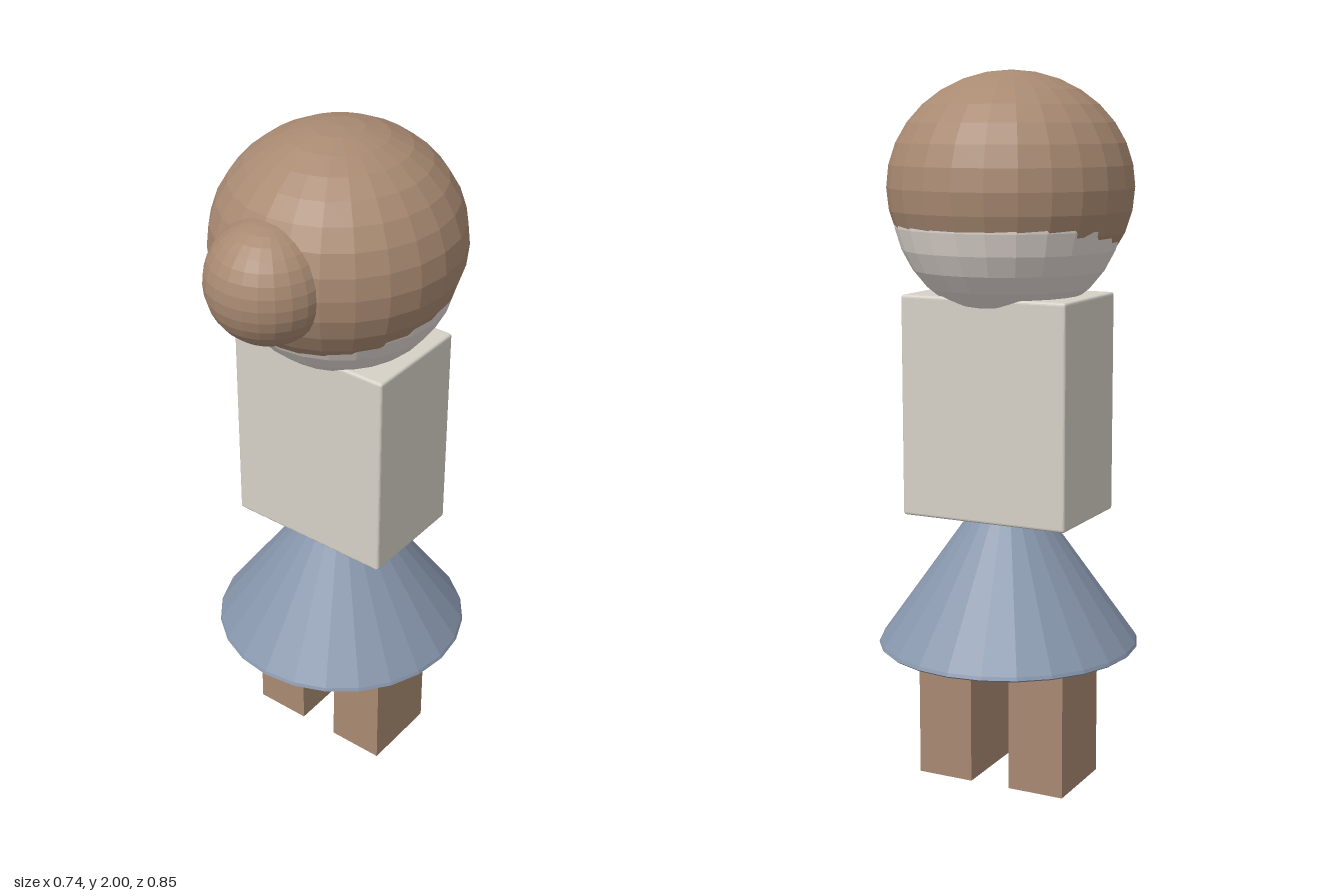
import * as THREE from 'three';
import { RoundedBoxGeometry } from 'three/addons/geometries/RoundedBoxGeometry.js';

export function createModel() {
  const group = new THREE.Group();
  const mat = (color) => new THREE.MeshStandardMaterial({ color, flatShading: true });
  const brown = mat(0xa98a72), cream = mat(0xd6d1c7), pale = mat(0xe4dbd5), blue = mat(0x8796ac);

  function add(name, geometry, material, x, y, z) {
    const mesh = new THREE.Mesh(geometry, material);
    mesh.name = name;
    mesh.position.set(x, y, z);
    group.add(mesh);
    return mesh;
  }
  const ball = (r) => new THREE.SphereGeometry(r, 24, 16);

  // Pale head, mostly covered by a slightly flattened cap of hair
  add('head', ball(0.32), pale, 0, 1.64, -0.045);
  add('hair', ball(1), brown, 0, 1.685, -0.03).scale.set(0.34, 0.315, 0.35);
  add('frontBun', ball(0.166), brown, 0, 1.685, 0.26);

  // Boxy torso with finely softened edges
  add('torso', new RoundedBoxGeometry(0.498, 0.62, 0.328, 2, 0.008), cream, 0, 1.085, -0.05);

  // Closed cone skirt with a small bevelled hem
  const profile = [[0, 0], [0.364, 0], [0.37, 0.005], [0.366, 0.014], [0, 0.53]]
    .map(([x, y]) => new THREE.Vector2(x, y));
  add('skirt', new THREE.LatheGeometry(profile, 24), blue, 0, 0.395, -0.05);

  // Legs
  for (const [name, side] of [['leftLeg', 1], ['rightLeg', -1]]) {
    add(name, new THREE.BoxGeometry(0.167, 0.42, 0.237), brown, side * 0.143, 0.21, -0.052);
  }
  return group;
}
